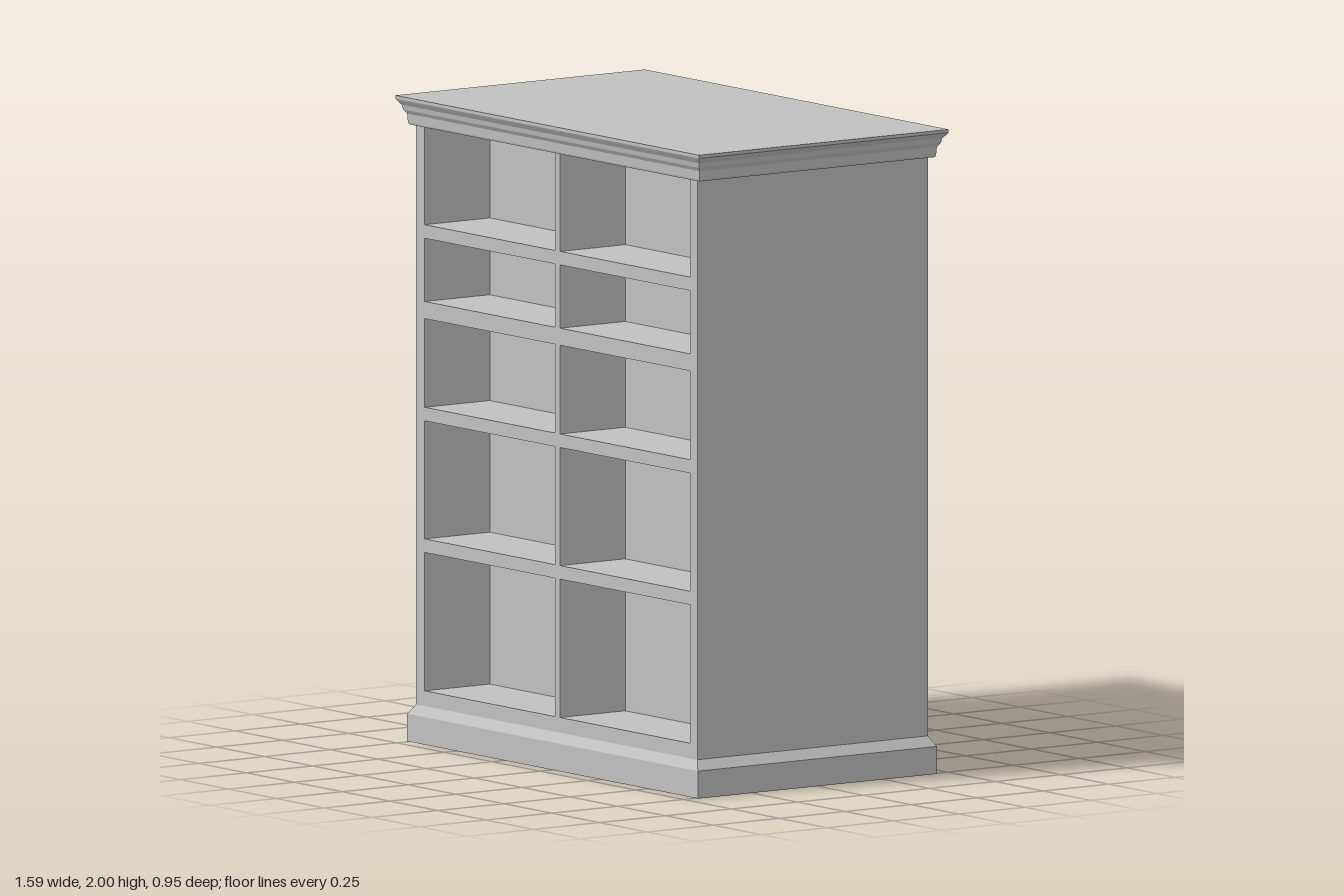
import * as THREE from 'three';

// Closed solid through rectangular rings [y, halfWidth, halfDepth], bottom to top
function ringSolid(rings) {
  const pos = [];
  const corners = ([y, w, d]) => [[-w, y, d], [w, y, d], [w, y, -d], [-w, y, -d]];
  const quad = (a, b, c, d) => pos.push(...a, ...b, ...c, ...a, ...c, ...d);
  for (let i = 0; i < rings.length - 1; i++) {
    const lo = corners(rings[i]);
    const hi = corners(rings[i + 1]);
    for (let k = 0; k < 4; k++) {
      const n = (k + 1) % 4;
      quad(lo[k], lo[n], hi[n], hi[k]);
    }
  }
  const [a, b, c, d] = corners(rings[0]);
  quad(d, c, b, a);
  quad(...corners(rings[rings.length - 1]));
  const geo = new THREE.BufferGeometry();
  geo.setAttribute('position', new THREE.Float32BufferAttribute(pos, 3));
  geo.computeVertexNormals();
  return geo;
}

function rect(Type, x0, y0, x1, y1) {
  const p = new Type();
  p.moveTo(x0, y0);
  p.lineTo(x1, y0);
  p.lineTo(x1, y1);
  p.lineTo(x0, y1);
  p.closePath();
  return p;
}

export function createModel() {
  const group = new THREE.Group();
  group.name = 'bookcase';
  const paint = new THREE.MeshStandardMaterial({ color: 0xc0c0c0 });
  paint.name = 'grey paint';
  const add = (name, geo) => {
    const mesh = new THREE.Mesh(geo, paint);
    mesh.name = name;
    group.add(mesh);
    return mesh;
  };

  const W = 0.735, D = 0.437, backZ = 0.19, bottom = 0.1, top = 1.93;

  // Solid rear part of the carcass, whose front closes the compartments
  const rear = add('carcassBack', new THREE.BoxGeometry(2 * W, top - bottom, backZ + D));
  rear.position.set(0, (top + bottom) / 2, (backZ - D) / 2);

  // Front frame with two columns of five open compartments
  const frame = rect(THREE.Shape, -W, bottom, W, top);
  const rows = [[0.163, 0.592], [0.634, 1.0], [1.042, 1.317], [1.37, 1.566], [1.608, 1.916]];
  const columns = [[-0.69, -0.01], [0.018, 0.698]];
  for (const [y0, y1] of rows) {
    for (const [x0, x1] of columns) frame.holes.push(rect(THREE.Path, x0, y0, x1, y1));
  }
  const shelves = add('shelfFrame', new THREE.ExtrudeGeometry(frame, { depth: D - backZ, bevelEnabled: false }));
  shelves.position.z = backZ;

  // Plinth with a chamfered upper edge
  add('plinth', ringSolid([[0, 0.76, 0.453], [0.085, 0.76, 0.453], [0.116, W, D]]));

  // Stepped cornice with a flat top
  add('cornice', ringSolid([
    [1.912, 0.758, 0.446],
    [1.918, 0.762, 0.448],
    [1.945, 0.764, 0.45],
    [1.957, 0.773, 0.458],
    [1.972, 0.777, 0.461],
    [1.985, 0.79, 0.47],
    [1.99, 0.794, 0.473],
    [2, 0.794, 0.473],
  ]));
  return group;
}
